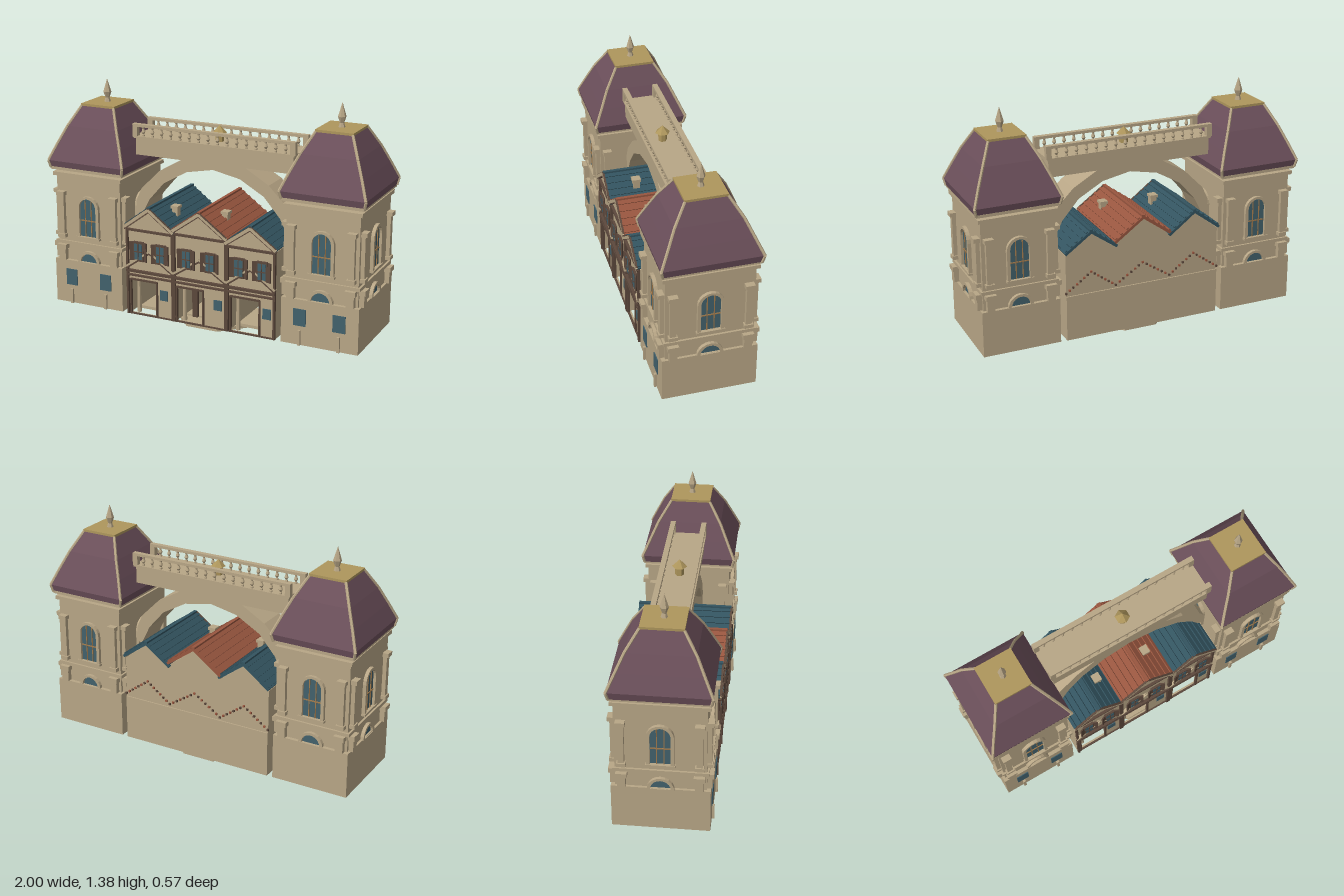
import * as THREE from 'three';

const mat = (name, color) => Object.assign(new THREE.MeshStandardMaterial({ color }), { name, flatShading: true });
const M = {
  stone: mat('stone', 0xb8a686), gold: mat('gold', 0xae965c), purple: mat('purple roof', 0x6c505b),
  glass: mat('glass', 0x42616c), teal: mat('teal roof', 0x335460), red: mat('terracotta roof', 0x98563f),
  brown: mat('brown timber', 0x5c483c), copper: mat('copper bars', 0xa07a4c),
};

function add(parent, name, geo, m, x = 0, y = 0, z = 0) {
  const mesh = new THREE.Mesh(geo, m);
  mesh.name = name;
  mesh.position.set(x, y, z);
  parent.add(mesh);
  return mesh;
}
// box given by its centre x, z and its lower and upper y
const box = (p, name, m, w, d, x, y0, y1, z) =>
  add(p, name, new THREE.BoxGeometry(w, y1 - y0, d), m, x, (y0 + y1) / 2, z);
// sloping board in the xy plane from a to b
function board(p, name, m, a, b, t, d, z) {
  const dx = b[0] - a[0], dy = b[1] - a[1];
  const o = add(p, name, new THREE.BoxGeometry(Math.hypot(dx, dy), t, d), m, (a[0] + b[0]) / 2, (a[1] + b[1]) / 2, z);
  o.rotation.z = Math.atan2(dy, dx);
  return o;
}
// round bar between two points
function bar(p, name, m, a, b, r) {
  const A = new THREE.Vector3(...a), B = new THREE.Vector3(...b);
  const o = add(p, name, new THREE.CylinderGeometry(r, r, A.distanceTo(B), 6), m);
  o.position.copy(A).add(B).multiplyScalar(0.5);
  o.quaternion.setFromUnitVectors(new THREE.Vector3(0, 1, 0), B.sub(A).normalize());
}
const poly = pts => new THREE.Shape(pts.map(p => new THREE.Vector2(...p)));
const extrude = (shape, depth) => new THREE.ExtrudeGeometry(shape, { depth, bevelEnabled: false, curveSegments: 8 });
const lathe = (pts, n) => new THREE.LatheGeometry(pts.map(p => new THREE.Vector2(...p)), n);

// round-headed outline of half width r, springing at ys
function arch(r, y0, ys) {
  const pts = [[-r, y0], [r, y0]];
  for (let i = 0; i <= 10; i++) pts.push([r * Math.cos(i * Math.PI / 10), ys + r * Math.sin(i * Math.PI / 10)]);
  return pts.filter((q, i) => i < 2 || ys > y0 || (i > 2 && i < 12));
}
function archedWindow(p, y0, ys) {
  const frame = poly(arch(0.075, y0, ys));
  frame.holes.push(poly(arch(0.056, y0 + 0.004, ys + 0.004)));
  add(p, 'windowFrame', extrude(frame, 0.02), M.stone);
  add(p, 'windowGlass', extrude(poly(arch(0.057, y0, ys)), 0.004), M.glass);
}

// rectangular rings [halfX, halfZ, y] joined into a hipped skin
function hipped(rings) {
  const pos = [], c = rings.map(([x, z, y]) => [[-x, y, z], [x, y, z], [x, y, -z], [-x, y, -z]]);
  for (let i = 0; i + 1 < c.length; i++) for (let k = 0; k < 4; k++) {
    const n = (k + 1) % 4, a = c[i][k], b = c[i][n], d = c[i + 1][n], e = c[i + 1][k];
    pos.push(...a, ...b, ...d, ...a, ...d, ...e);
  }
  const g = new THREE.BufferGeometry();
  g.setAttribute('position', new THREE.Float32BufferAttribute(pos, 3));
  g.computeVertexNormals();
  return g;
}

function tower(x) {
  const g = new THREE.Group();
  g.name = 'tower';
  g.position.x = x;
  box(g, 'towerBase', M.stone, 0.46, 0.54, 0, 0.03, 0.3, 0);
  box(g, 'towerBody', M.stone, 0.43, 0.496, 0, 0.3, 0.82, 0);
  box(g, 'middleBand', M.stone, 0.455, 0.52, 0, 0.398, 0.418, 0);
  box(g, 'cornice', M.stone, 0.46, 0.53, 0, 0.82, 0.842, 0);
  box(g, 'neck', M.stone, 0.4, 0.22, 0, 0.842, 0.868, 0);
  box(g, 'roofSoffit', M.stone, 0.48, 0.54, 0, 0.858, 0.875, 0);
  // faces with a tall window, a half-round window and two stacked pilasters
  for (let i = 0; i < 4; i++) {
    const f = new THREE.Group(), side = i % 2, d = side ? 0.215 : 0.248, off = side ? 0.21 : 0.177;
    f.name = 'towerFace';
    f.rotation.y = i * Math.PI / 2;
    g.add(f);
    const w = new THREE.Group();
    w.name = 'faceWindows';
    w.position.z = d;
    f.add(w);
    archedWindow(w, 0.455, 0.637);
    archedWindow(w, 0.295, 0.295);
    for (const bx of [-0.02, 0.02]) box(w, 'windowBar', M.copper, 0.005, 0.006, bx, 0.459, 0.685, 0.006);
    box(w, 'windowCrossbar', M.copper, 0.11, 0.006, 0, 0.557, 0.563, 0.006);
    box(w, 'windowSill', M.stone, 0.16, 0.024, 0, 0.448, 0.461, 0.012);
    for (const s of [-1, 1]) {
      box(f, 'pilaster', M.stone, 0.034, 0.026, s * off, 0.46, 0.705, d + 0.01);
      box(f, 'pilasterCap', M.stone, 0.052, 0.04, s * off, 0.703, 0.727, d + 0.015);
      box(f, 'pilasterFoot', M.stone, 0.05, 0.036, s * off, 0.44, 0.462, d + 0.013);
      box(f, 'lowerPilaster', M.stone, 0.045, 0.034, s * off, 0.3, 0.375, d + 0.012);
      box(f, 'lowerCap', M.stone, 0.062, 0.044, s * off, 0.37, 0.398, d + 0.015);
    }
  }
  // small street windows and posts
  for (const s of [-1, 1]) {
    box(g, 'streetWindow', M.glass, 0.075, 0.008, s * 0.117, 0.145, 0.245, 0.271);
    box(g, 'streetPost', M.stone, 0.016, 0.016, s * 0.117, 0.03, 0.12, 0.276);
  }
  // roof with hip ribs, flat top and finial
  const rings = [[0.24, 0.268, 0.868], [0.25, 0.278, 0.912], [0.21, 0.233, 1.01], [0.166, 0.187, 1.11], [0.107, 0.115, 1.225]];
  add(g, 'towerRoof', hipped(rings), M.purple);
  for (let i = 0; i < 4; i++) for (const sx of [-1, 1]) for (const sz of [-1, 1]) {
    const [a, b] = [rings[i], rings[i + 1]];
    bar(g, 'hipRib', M.stone, [sx * a[0], a[2], sz * a[1]], [sx * b[0], b[2], sz * b[1]], 0.0085);
  }
  box(g, 'roofTop', M.gold, 0.224, 0.236, 0, 1.222, 1.236, 0);
  add(g, 'finial', lathe([[0.02, 1.235], [0.012, 1.26], [0.024, 1.295], [0.012, 1.335], [0, 1.375]], 6), M.stone);
  return g;
}

function house(x0, x1, eave, peak, roofMat, door, pane, panes) {
  const g = new THREE.Group(), c = (x0 + x1) / 2, w = x1 - x0;
  g.name = 'house';
  // upper storey with gable, over a hollow ground floor
  add(g, 'upperStorey', extrude(poly([[x0, 0.285], [x1, 0.285], [x1, eave - 0.02], [c, peak - 0.02], [x0, eave - 0.02]]), 0.525), M.stone, 0, 0, -0.264);
  const front = poly([[x0, 0.03], [x1, 0.03], [x1, 0.29], [x0, 0.29]]);
  front.holes.push(poly([[door[0], 0.034], [door[0], 0.245], [door[1], 0.245], [door[1], 0.034]]));
  add(g, 'groundFront', extrude(front, 0.015), M.stone, 0, 0, 0.245);
  box(g, 'groundBack', M.stone, w, 0.02, c, 0.03, 0.3, -0.262);
  for (const x of [x0 + 0.005, x1 - 0.005]) box(g, 'groundSide', M.stone, 0.01, 0.51, x, 0.03, 0.29, 0);
  // door frame, entrance column and small window
  for (const x of door) box(g, 'doorPost', M.brown, 0.01, 0.016, x, 0.03, 0.25, 0.262);
  box(g, 'doorLintel', M.brown, door[1] - door[0], 0.016, (door[0] + door[1]) / 2, 0.243, 0.253, 0.262);
  add(g, 'entranceColumn', new THREE.CylinderGeometry(0.011, 0.014, 0.2, 8), M.stone, door[0] + 0.03, 0.13, 0.22);
  box(g, 'smallWindow', M.glass, 0.052, 0.008, pane, 0.143, 0.205, 0.262);
  // timber framing
  for (const x of [x0 + 0.006, x1 - 0.006]) box(g, 'timberPost', M.brown, 0.013, 0.016, x, 0.03, eave - 0.02, 0.267);
  box(g, 'floorBeam', M.brown, w, 0.02, c, 0.296, 0.31, 0.27);
  box(g, 'floorBeam', M.brown, w, 0.02, c, 0.272, 0.281, 0.268);
  box(g, 'eaveBeam', M.brown, w, 0.018, c, eave - 0.03, eave - 0.018, 0.268);
  box(g, 'groundSill', M.brown, w, 0.012, c, 0.028, 0.036, 0.262);
  // chevron braces on the front, beaded line on the back
  for (const x of [x0, x1]) {
    board(g, 'chevronBrace', M.brown, [x, 0.315], [c, 0.425], 0.011, 0.018, 0.268);
    board(g, 'chevronBrace', M.stone, [x, 0.327], [c, 0.437], 0.011, 0.024, 0.268);
    for (let i = 0; i <= 7; i++) {
      const t = i / 7, px = x + (c - x) * t, y = 0.32 + 0.11 * t;
      box(g, 'backBead', i % 2 ? M.red : M.brown, 0.011, 0.012, px, y - 0.005, y + 0.006, -0.268);
    }
  }
  // shuttered windows
  for (const x of panes) {
    box(g, 'upperFrame', M.brown, 0.066, 0.014, x, 0.368, 0.488, 0.272);
    box(g, 'upperGlass', M.glass, 0.05, 0.006, x, 0.38, 0.476, 0.278);
    box(g, 'upperMullion', M.brown, 0.006, 0.006, x, 0.38, 0.476, 0.281);
    box(g, 'upperTransom', M.brown, 0.05, 0.006, x, 0.425, 0.431, 0.281);
    for (const s of [-1, 1]) {
      const sh = box(g, 'shutter', M.brown, 0.028, 0.008, x + s * 0.044, 0.37, 0.486, 0.277);
      sh.rotation.y = -s * 0.4;
    }
  }
  // ribbed roof slopes with gable boards
  for (const x of [x0 - 0.006, x1 + 0.006]) {
    board(g, 'roofSlope', roofMat, [x, eave - 0.008], [c, peak - 0.008], 0.016, 0.56, 0);
    board(g, 'rakeBoard', M.stone, [x, eave - 0.008], [c, peak - 0.008], 0.018, 0.008, 0.281);
    board(g, 'rakeEdge', M.brown, [x, eave - 0.021], [c, peak - 0.021], 0.008, 0.02, 0.272);
    board(g, 'rakeEdge', M.brown, [x, eave + 0.002], [c, peak + 0.002], 0.005, 0.012, 0.279);
    for (let i = 0; i < 5; i++) {
      const at = t => [x + (c - x) * t, eave + (peak - eave) * t + 0.002];
      board(g, 'roofRib', roofMat, at(i * 0.2 + 0.02), at(i * 0.2 + 0.09), 0.014, 0.55, 0);
    }
  }
  box(g, 'ridge', roofMat, 0.02, 0.56, c, peak - 0.006, peak + 0.006, 0);
  return g;
}

function bridge() {
  const g = new THREE.Group();
  g.name = 'bridge';
  box(g, 'bridgeBeam', M.stone, 1.0, 0.19, 0, 0.96, 1.07, 0);
  box(g, 'bridgeDeck', M.stone, 1.02, 0.214, 0, 1.062, 1.074, 0);
  // faceted arch
  const outer = [[0.505, 0.68], [0.47, 0.755], [0.35, 0.875], [0.2, 0.962]];
  const inner = [[0, 0.924], [0.17, 0.89], [0.32, 0.805], [0.42, 0.69], [0.475, 0.58], [0.505, 0.58]];
  const right = inner.concat(outer);
  const left = right.slice(1).reverse().map(([x, y]) => [-x, y]);
  add(g, 'arch', extrude(poly(right.concat(left)), 0.18), M.stone, 0, 0, -0.09);
  // balustrades
  const prof = [[0.008, 0], [0.008, 0.008], [0.005, 0.014], [0.012, 0.026], [0.006, 0.044], [0.009, 0.056]];
  const baluster = lathe(prof, 8);
  for (const z of [-0.092, 0.092]) {
    box(g, 'topRail', M.stone, 1.03, 0.03, 0, 1.13, 1.146, z);
    for (const s of [-1, 1]) box(g, 'railPost', M.stone, 0.032, 0.03, s * 0.499, 1.07, 1.132, z);
    for (let i = 0; i < 16; i++) add(g, 'baluster', baluster, M.stone, -0.45 + i * 0.06, 1.074, z);
  }
  // central lantern
  add(g, 'lantern', lathe([[0, 1.07], [0.025, 1.07], [0.025, 1.125], [0.043, 1.125], [0.016, 1.152], [0, 1.168]], 6), M.gold);
  return g;
}

export function createModel() {
  const model = new THREE.Group();
  model.name = 'gatehouse';
  model.add(tower(-0.742), tower(0.742), bridge());
  model.add(house(-0.478, -0.168, 0.58, 0.7, M.teal, [-0.455, -0.28], -0.235, [-0.394, -0.25]));
  model.add(house(-0.168, 0.172, 0.592, 0.718, M.red, [-0.15, 0.022], 0.115, [-0.08, 0.07]));
  model.add(house(0.172, 0.475, 0.57, 0.682, M.teal, [0.195, 0.378], 0.422, [0.252, 0.395]));
  // timber screen inside the middle doorway
  for (const x of [-0.085, -0.02]) box(model, 'doorScreen', M.brown, 0.035, 0.02, x, 0.03, 0.245, 0.15);
  // chimneys
  for (const [x, y, z] of [[-0.235, 0.685, 0.1], [0.09, 0.695, 0.1]]) {
    box(model, 'chimney', M.stone, 0.036, 0.04, x, y - 0.08, y - 0.01, z);
    box(model, 'chimneyCap', M.stone, 0.048, 0.052, x, y - 0.016, y, z);
  }
  // ground slab and octagonal plinth
  box(model, 'groundSlab', M.stone, 1.2, 0.26, 0, 0.012, 0.03, 0);
  const plinth = new THREE.CylinderGeometry(0.258, 0.258, 0.02, 8);
  plinth.rotateY(Math.PI / 8);
  add(model, 'plinth', plinth, M.stone, 0, 0.01, 0);
  return model;
}
